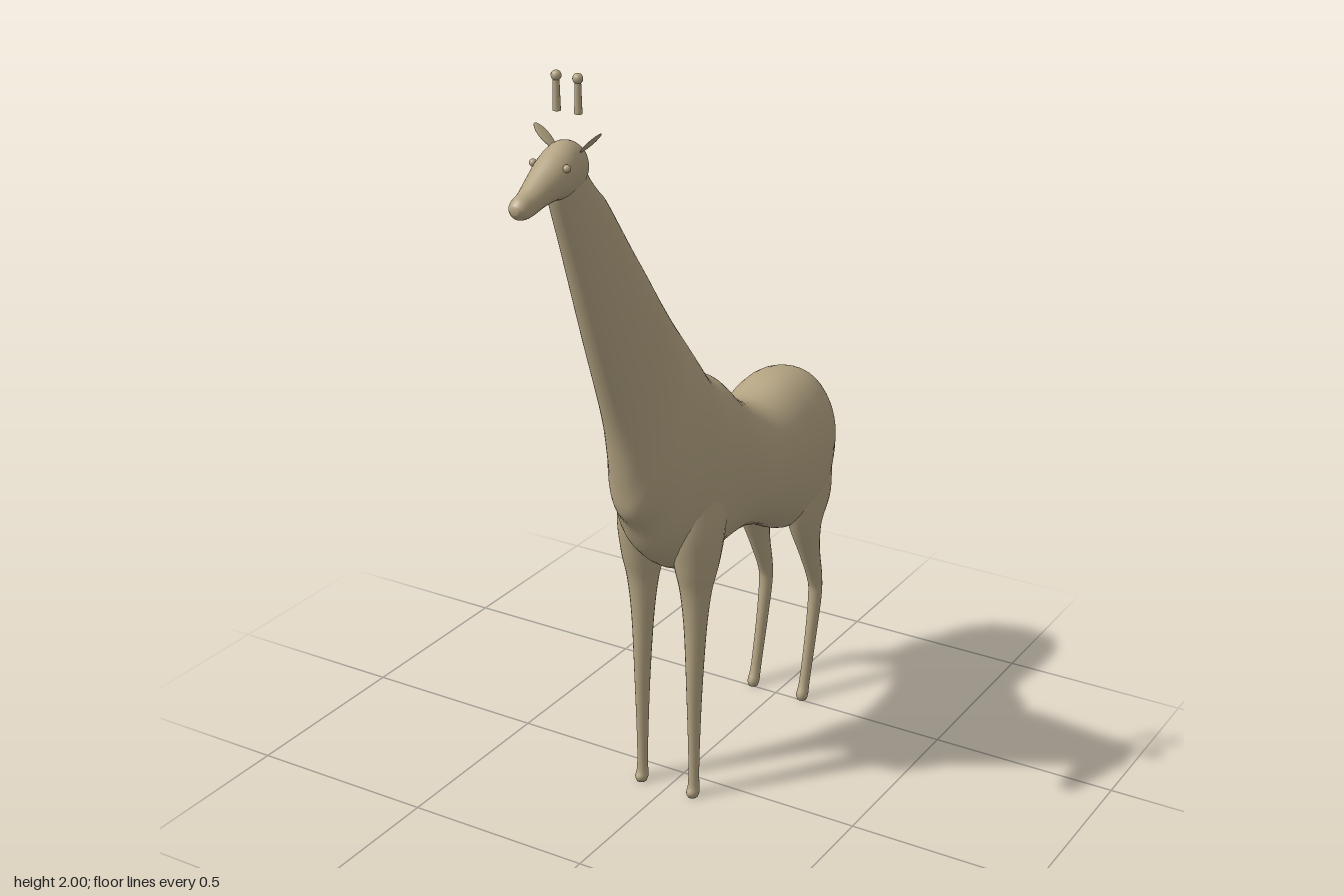
import * as THREE from 'three';

const hide = new THREE.MeshStandardMaterial({ color: 0xb3a382 });
hide.name = 'tan hide';

// Smooth skin over oval sections. Row: [upperZ, upperY, lowerZ, lowerY, halfWidth]
function loft(rows, { x = 0, sides = 28, steps = 5, square = 1 } = {}) {
  const curve = (f) => new THREE.CatmullRomCurve3(rows.map(f), false, 'catmullrom', 0.5);
  const upper = curve((r) => new THREE.Vector3(r[4], r[1], r[0]));
  const lower = curve((r) => new THREE.Vector3(r[4], r[3], r[2]));
  const n = (rows.length - 1) * steps;
  const pos = [], index = [];
  const bend = (v) => Math.sign(v) * Math.abs(v) ** square;
  for (let i = 0; i <= n; i++) {
    const a = upper.getPoint(i / n), b = lower.getPoint(i / n);
    for (let j = 0; j < sides; j++) {
      const t = (j / sides) * Math.PI * 2;
      const k = (1 - bend(Math.cos(t))) / 2;
      pos.push(x + a.x * bend(Math.sin(t)), a.y + (b.y - a.y) * k, a.z + (b.z - a.z) * k);
    }
  }
  for (let i = 0; i < n; i++) {
    for (let j = 0; j < sides; j++) {
      const p = i * sides + j, q = i * sides + (j + 1) % sides;
      index.push(p, p + sides, q, q, p + sides, q + sides);
    }
  }
  // Rounded end caps
  for (const end of [0, n]) {
    const a = upper.getPoint(end / n), b = lower.getPoint(end / n);
    const centre = pos.length / 3;
    pos.push(x, (a.y + b.y) / 2, (a.z + b.z) / 2);
    for (let j = 0; j < sides; j++) {
      const p = end * sides + j, q = end * sides + (j + 1) % sides;
      if (end === 0) index.push(centre, p, q);
      else index.push(centre, q, p);
    }
  }
  const g = new THREE.BufferGeometry();
  g.setAttribute('position', new THREE.Float32BufferAttribute(pos, 3));
  g.setIndex(index);
  g.computeVertexNormals();
  return g;
}

export function createModel() {
  const model = new THREE.Group();
  model.name = 'giraffe';
  const add = (name, geometry) => {
    const mesh = new THREE.Mesh(geometry, hide);
    mesh.name = name;
    model.add(mesh);
    return mesh;
  };

  // Rump, barrel, chest and neck in one skin
  const body = loft([
    [-0.652, 0.80, -0.652, 0.73, 0.05],
    [-0.635, 0.88, -0.64, 0.66, 0.092],
    [-0.59, 0.95, -0.585, 0.575, 0.12],
    [-0.52, 0.98, -0.52, 0.535, 0.142],
    [-0.43, 0.985, -0.44, 0.54, 0.138],
    [-0.31, 0.96, -0.32, 0.60, 0.125],
    [-0.20, 1.01, -0.20, 0.635, 0.122],
    [-0.10, 1.10, -0.07, 0.635, 0.13],
    [-0.03, 1.14, 0.06, 0.63, 0.137],
    [0.03, 1.215, 0.17, 0.71, 0.13],
    [0.07, 1.275, 0.225, 0.80, 0.108],
    [0.10, 1.32, 0.27, 0.855, 0.087],
    [0.15, 1.39, 0.288, 0.94, 0.073],
    [0.20, 1.46, 0.322, 1.09, 0.066],
    [0.27, 1.555, 0.41, 1.33, 0.056],
    [0.36, 1.68, 0.503, 1.59, 0.045],
    [0.39, 1.71, 0.54, 1.69, 0.041],
    [0.43, 1.755, 0.555, 1.74, 0.038],
    [0.46, 1.81, 0.55, 1.78, 0.034],
  ], { sides: 40, square: 0.92 });
  // Shallow cleft down the back of the rump
  const p = body.attributes.position;
  for (let i = 0; i < p.count; i++) {
    const rear = THREE.MathUtils.smoothstep(-p.getZ(i), 0.55, 0.65);
    p.setZ(i, p.getZ(i) + 0.014 * rear * Math.exp(-((p.getX(i) / 0.03) ** 2)));
  }
  body.computeVertexNormals();
  add('bodyAndNeck', body);

  add('head', loft([
    [0.435, 1.795, 0.45, 1.75, 0.022],
    [0.462, 1.835, 0.485, 1.73, 0.041],
    [0.51, 1.853, 0.53, 1.724, 0.047],
    [0.56, 1.835, 0.565, 1.729, 0.045],
    [0.61, 1.805, 0.61, 1.726, 0.036],
    [0.655, 1.778, 0.655, 1.716, 0.027],
    [0.685, 1.766, 0.685, 1.719, 0.023],
    [0.70, 1.752, 0.70, 1.734, 0.011],
  ]));

  for (const [side, s] of [['left', 1], ['right', -1]]) {
    // Legs, from inside the body down to the hoof
    add(side + 'FrontLeg', loft([
      [0.13, 0.92, -0.03, 0.92, 0.045],
      [0.15, 0.78, -0.03, 0.78, 0.062],
      [0.134, 0.67, 0.00, 0.67, 0.055],
      [0.115, 0.59, 0.028, 0.59, 0.04],
      [0.106, 0.48, 0.042, 0.48, 0.028],
      [0.102, 0.30, 0.055, 0.30, 0.019],
      [0.096, 0.12, 0.064, 0.12, 0.014],
      [0.097, 0.04, 0.065, 0.04, 0.014],
      [0.106, 0.015, 0.064, 0.012, 0.016],
      [0.10, 0.00, 0.07, 0.00, 0.013],
    ], { x: s * 0.078, sides: 20 }));
    add(side + 'HindLeg', loft([
      [-0.43, 0.78, -0.60, 0.78, 0.055],
      [-0.425, 0.63, -0.605, 0.63, 0.054],
      [-0.455, 0.535, -0.56, 0.55, 0.042],
      [-0.497, 0.45, -0.567, 0.46, 0.028],
      [-0.545, 0.35, -0.592, 0.36, 0.02],
      [-0.552, 0.30, -0.594, 0.29, 0.018],
      [-0.535, 0.19, -0.573, 0.18, 0.015],
      [-0.508, 0.06, -0.54, 0.05, 0.014],
      [-0.492, 0.018, -0.53, 0.012, 0.016],
      [-0.495, 0.00, -0.522, 0.00, 0.013],
    ], { x: s * 0.078, sides: 20 }));

    const eye = add(side + 'Eye', new THREE.SphereGeometry(0.009, 14, 10));
    eye.position.set(s * 0.044, 1.808, 0.56);

    // Thin leaf-shaped ear tilted up and outward
    const ear = add(side + 'Ear', new THREE.SphereGeometry(1, 18, 12));
    ear.scale.set(0.036, 0.004, 0.018);
    ear.position.set(s * 0.06, 1.85, 0.49);
    ear.rotation.z = s * 0.75;

    // Horn floating above the head, with its knob
    const horn = add(side + 'Horn', new THREE.CylinderGeometry(0.007, 0.009, 0.08, 14));
    horn.position.set(s * 0.028, 1.95, 0.488);
    const knob = add(side + 'HornKnob', new THREE.SphereGeometry(0.012, 14, 10));
    knob.position.set(s * 0.028, 1.988, 0.488);
  }

  // Tail ending in a tuft
  add('tail', loft([
    [-0.60, 0.90, -0.622, 0.91, 0.01],
    [-0.634, 0.84, -0.654, 0.845, 0.009],
    [-0.659, 0.74, -0.676, 0.74, 0.007],
    [-0.676, 0.64, -0.689, 0.64, 0.006],
    [-0.684, 0.575, -0.695, 0.575, 0.006],
    [-0.678, 0.53, -0.702, 0.53, 0.014],
    [-0.683, 0.50, -0.698, 0.50, 0.01],
    [-0.689, 0.475, -0.692, 0.475, 0.002],
  ], { sides: 14 }));

  return model;
}
